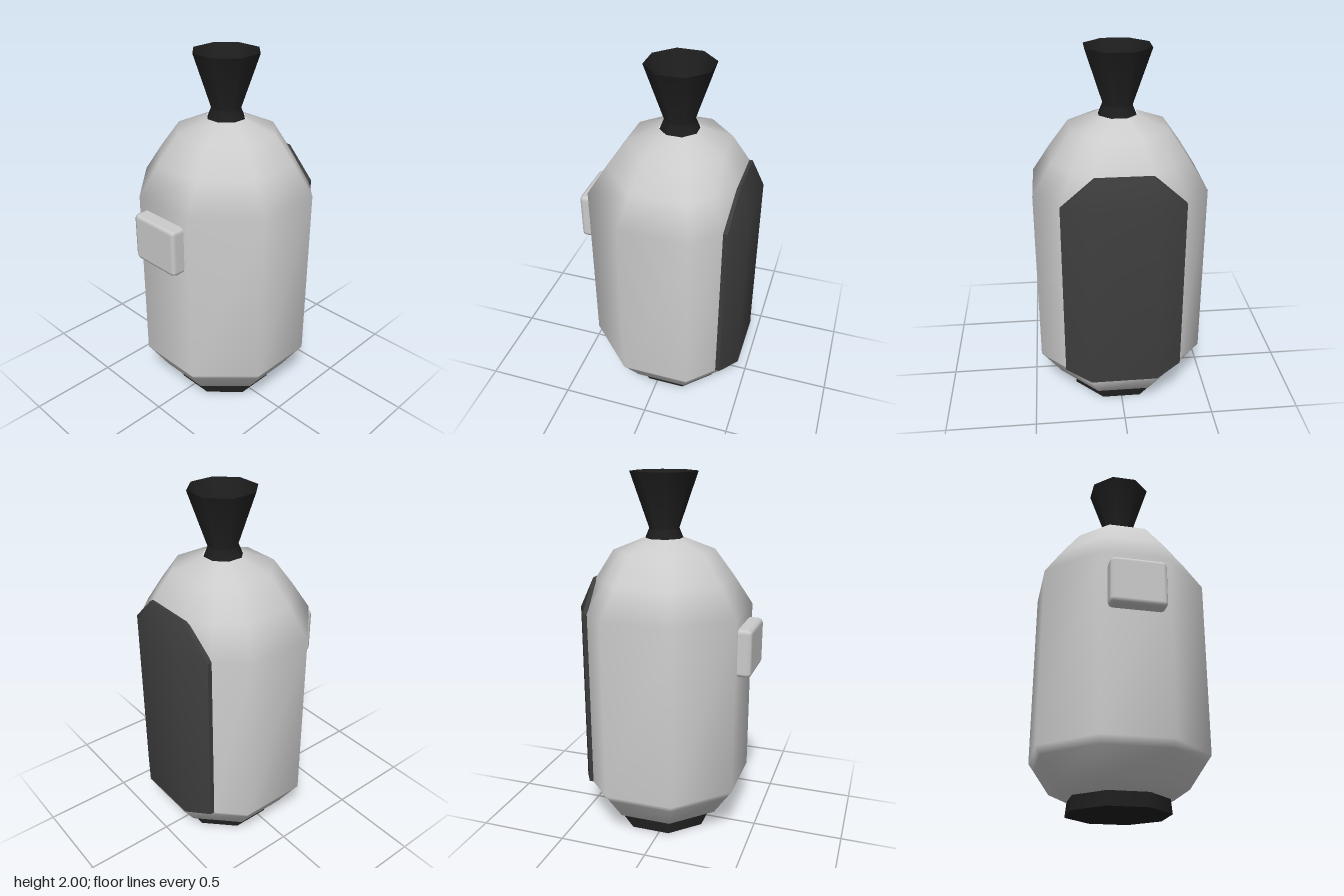
import * as THREE from 'three';
import { RoundedBoxGeometry } from 'three/addons/geometries/RoundedBoxGeometry.js';
import { toCreasedNormals } from 'three/addons/utils/BufferGeometryUtils.js';

const AXIS_Z = -0.053; // axis of the octagonal tank
const CORNER = 1 / Math.cos(Math.PI / 8); // flat radius -> corner radius

const mat = (color, side = THREE.FrontSide) =>
  new THREE.MeshStandardMaterial({ color, side, roughness: 0.8 });

// Skin between consecutive rows of points, optionally closed around each row
function skin(rows, closed) {
  const n = rows[0].length;
  const points = rows.flat().map((p) => new THREE.Vector3(...p));
  const index = [];
  const tri = (a, b, c) => {
    const area = new THREE.Triangle(points[a], points[b], points[c]).getArea();
    if (area > 1e-7) index.push(a, b, c);
  };
  for (let i = 0; i < rows.length - 1; i++) {
    for (let j = 0; j < (closed ? n : n - 1); j++) {
      const k = (j + 1) % n;
      const a = i * n + j, b = a + n, c = (i + 1) * n + k, d = i * n + k;
      tri(a, b, d);
      tri(b, c, d);
    }
  }
  const geo = new THREE.BufferGeometry().setFromPoints(points);
  geo.setIndex(index);
  geo.computeVertexNormals();
  return geo;
}

// Octagonal tank; the back corners are drawn in where the panel sits
function bodyGeometry() {
  const section = [
    [0.414, 1], [-0.414, 1], [-1, 0.414], [-1, -0.414], [-0.703, -0.711],
    [-0.414, -1], [0.414, -1], [0.703, -0.711], [1, -0.414], [1, 0.414],
  ];
  // radius, height, back limit
  const rings = [
    [0.255, 0.075, -1], [0.345, 0.12, -1], [0.428, 0.25, -1], [0.455, 0.29, -0.45],
    [0.455, 1.28, -0.45], [0.357, 1.44, -0.395], [0.255, 1.59, -1], [0.1, 1.655, -1],
  ];
  return skin(rings.map(([r, y, back]) =>
    section.map(([x, z]) => [x * r, y, Math.max(z * r + AXIS_Z, back)])), true);
}

// Three-faced back panel with a thin rim, as upright columns from +x to -x
function panelGeometry() {
  const ys = [0.29, 0.29, 0.29, 1.28, 1.28, 1.28];
  const rim = ys.map((y) => [0.32, y, -0.373]);
  const edge = ys.map((y, i) => [0.32, y, i % 5 ? -0.4 : -0.373]);
  const ridge = [
    [0.177, 0.25, -0.45], [0.177, 0.25, -0.479], [0.18, 0.29, -0.477],
    [0.18, 1.28, -0.477], [0.148, 1.44, -0.412], [0.148, 1.44, -0.39],
  ];
  const mirror = (column) => column.map(([x, y, z]) => [-x, y, z]);
  const half = [rim, edge, ridge];
  return toCreasedNormals(skin([...half, ...half.map(mirror).reverse()], false), 0.7);
}

export function createModel() {
  const model = new THREE.Group();
  const add = (name, geometry, material, x = 0, y = 0, z = 0) => {
    const mesh = new THREE.Mesh(geometry, material);
    mesh.name = name;
    mesh.position.set(x, y, z);
    model.add(mesh);
  };
  const grey = mat(0xcccccc);
  const black = mat(0x1e1e1e);

  add('body', bodyGeometry(), grey);
  add('backPanel', panelGeometry(), mat(0x3c3c3c, THREE.DoubleSide));

  // Foot
  add('base', new THREE.CylinderGeometry(0.252 * CORNER, 0.26 * CORNER, 0.08, 8, 1, false, Math.PI / 8),
    black, 0, 0.04, AXIS_Z);

  // Flared hollow nozzle
  const profile = [[0.098, 1.645], [0.075, 1.705], [0.168, 2], [0.085, 1.76], [0, 1.76]]
    .map(([r, y]) => new THREE.Vector2(r * CORNER, y));
  add('nozzle', toCreasedNormals(new THREE.LatheGeometry(profile, 8, Math.PI / 8), 0.9),
    mat(0x1e1e1e, THREE.DoubleSide), 0, 0, AXIS_Z);

  // Raised block on the front
  add('frontBlock', new RoundedBoxGeometry(0.305, 0.265, 0.12, 1, 0.025), grey, 0, 1.085, 0.417);

  return model;
}
